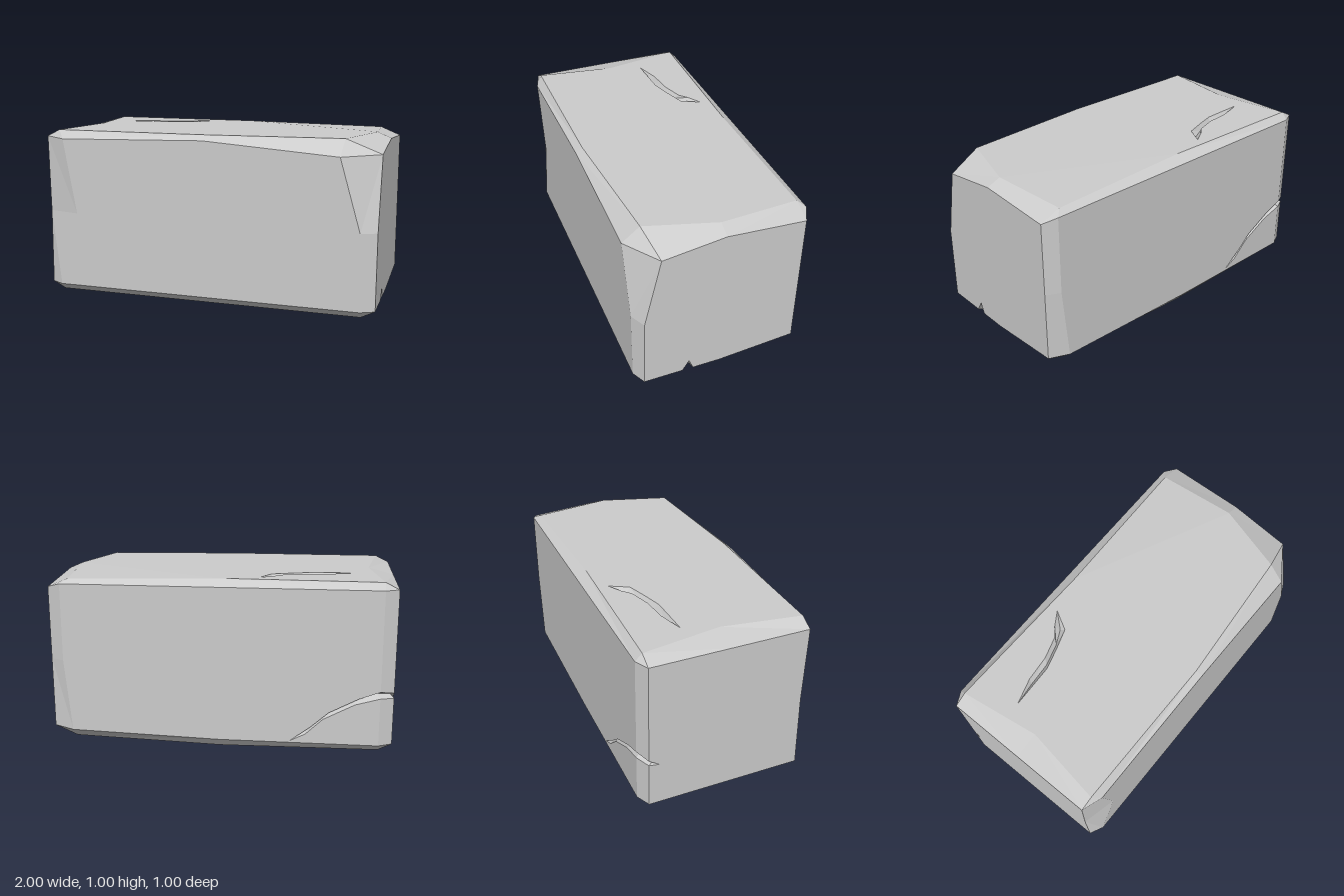
import * as THREE from 'three';

const HALF = [1, 0.495, 0.5], MID = [0, 0.505, 0], INSET = [0.08, 0.04, 0.04];
const SIGNS = [-1, 0, 1];

// Worn spots: face axis + sign of x,y,z -> position replacing the regular chamfer point
const WORN = {
  '0:1,1,1': [1, 0.915, 0.36], '0:1,1,0': [1, 0.965, 0], '0:1,1,-1': [1, 0.935, -0.46],
  '0:1,0,1': [1, 0.495, 0.455], '0:1,-1,-1': [1, 0.085, -0.46], '0:-1,0,1': [-1, 0.5, 0.45],
  '1:1,1,1': [0.8, 1, 0.4], '1:1,1,-1': [0.88, 0.985, -0.46], '1:0,1,-1': [0, 1, -0.44],
  '1:-1,1,0': [-0.85, 1, 0], '1:1,-1,-1': [0.88, 0.01, -0.42], '1:0,-1,-1': [0, 0, -0.46],
  '2:1,1,1': [0.79, 0.91, 0.5], '2:0,1,1': [0, 0.97, 0.5], '2:-1,1,1': [-0.88, 0.95, 0.5],
  '2:-1,0,1': [-0.8, 0.5, 0.5], '2:1,0,1': [0.91, 0.495, 0.5], '2:1,-1,-1': [0.88, 0.075, -0.5],
};

// Point of one face, named by the signs of its corner or edge middle
function point(axis, s) {
  return WORN[`${axis}:${s}`] ||
    s.map((k, i) => MID[i] + k * (HALF[i] - (i === axis ? 0 : INSET[i])));
}

// Cracks: two lips sharing their end points, and the inward push of the groove floor
const top = (x, z) => [x, 1, z], back = (x, y) => [x, y, -0.5];
const CRACKS = {
  topCrack: {
    a: [top(-0.78, -0.19), top(-0.63, -0.235), top(-0.48, -0.25), top(-0.35, -0.29), top(-0.3, -0.335), top(-0.22, -0.385)],
    b: [top(-0.78, -0.19), top(-0.65, -0.195), top(-0.52, -0.2), top(-0.4, -0.235), top(-0.28, -0.275), top(-0.22, -0.385)],
    push: [0, -0.03, 0],
  },
  backCrack: {
    a: [[-1, 0.32, -0.4], [-1, 0.36, -0.46], back(-0.92, 0.375), back(-0.8, 0.33), back(-0.63, 0.24), back(-0.53, 0.15), back(-0.41, 0.06)],
    b: [[-1, 0.32, -0.4], [-1, 0.33, -0.46], back(-0.92, 0.335), back(-0.78, 0.295), back(-0.6, 0.2), back(-0.5, 0.105), back(-0.41, 0.06)],
    push: [0.02, 0, 0.035],
  },
  bottomNotch: {
    a: [[1, 0.115, 0.19], [1, 0.05, 0.23], [0.92, 0.01, 0.23], [0.78, 0.01, 0.19]],
    b: [[1, 0.115, 0.19], [1, 0.05, 0.165], [0.92, 0.01, 0.165], [0.78, 0.01, 0.19]],
    push: [-0.07, 0.033, 0],
  },
};
const { topCrack: T, backCrack: K, bottomNotch: N } = CRACKS;

// Where a crack breaks a face outline, and which chamfers it interrupts
const OUTLINE_CUTS = {
  '0:1': [7, [N.a[1], N.a[0], N.b[1]]],
  '1:-1': [5, [N.a[2], N.a[3], N.b[2]]],
  '2:-1': [8, [...K.a.slice(2), ...K.b.slice(2, -1).reverse()]],
  '0:-1': [1, [K.b[1], K.b[0], K.a[1]]],
};
const CHAMFER_CUTS = {
  '0,1:1,-1': [2, [[N.b[1], N.b[2]], [N.a[1], N.a[2]]]],
  '0,2:-1,-1': [1, [[K.b[1], K.b[2]], [K.a[1], K.a[2]]]],
};

function makeMesh(name, positions, side) {
  const g = new THREE.BufferGeometry();
  g.setAttribute('position', new THREE.Float32BufferAttribute(positions, 3));
  g.computeVertexNormals();
  const m = new THREE.Mesh(g, new THREE.MeshStandardMaterial({ color: 0xcccccc, flatShading: true, side }));
  m.name = name;
  return m;
}

function buildBlock() {
  const out = [], centre = new THREE.Vector3(...MID);
  // Adds a triangle turned away from the centre of the block
  const tri = (p, q, r) => {
    const t = new THREE.Triangle(...[p, q, r].map((v) => new THREE.Vector3(...v)));
    const n = t.getNormal(new THREE.Vector3());
    const outward = n.dot(t.getMidpoint(new THREE.Vector3()).sub(centre)) > 0;
    out.push(...p, ...(outward ? q : r), ...(outward ? r : q));
  };
  const RING = [[-1, -1], [0, -1], [1, -1], [1, 0], [1, 1], [0, 1], [-1, 1], [-1, 0]];

  for (let a = 0; a < 3; a++) for (const sign of [-1, 1]) {
    // Main face, with crack outlines cut in
    const u = (a + 1) % 3, v = (a + 2) % 3;
    const ring = RING.map(([i, j]) => {
      const s = [0, 0, 0];
      s[a] = sign; s[u] = i; s[v] = j;
      return point(a, s);
    });
    const cut = OUTLINE_CUTS[`${a}:${sign}`];
    if (cut) ring.splice(cut[0], 0, ...cut[1]);
    const hole = a === 1 && sign === 1 ? [...T.a, ...T.b.slice(1, -1).reverse()] : [];
    const flat = (list) => list.map((p) => new THREE.Vector2(p[u], p[v]));
    const all = [...ring, ...hole];
    for (const f of THREE.ShapeUtils.triangulateShape(flat(ring), hole.length ? [flat(hole)] : []))
      tri(...f.map((i) => all[i]));

    // Chamfers to the faces of the later axes
    for (let b = a + 1; b < 3; b++) for (const sb of [-1, 1]) {
      const pairs = SIGNS.map((k) => {
        const s = [k, k, k];
        s[a] = sign; s[b] = sb;
        return [point(a, s), point(b, s)];
      });
      const gap = CHAMFER_CUTS[`${a},${b}:${sign},${sb}`];
      if (gap) pairs.splice(gap[0], 0, ...gap[1]);
      for (let i = 0; i < pairs.length - 1; i++) {
        if (gap && i === gap[0]) continue;
        const [p, q] = pairs[i], [r, t] = pairs[i + 1];
        tri(p, q, r);
        tri(q, t, r);
      }
    }
  }
  // Corner facets
  for (const x of [-1, 1]) for (const y of [-1, 1]) for (const z of [-1, 1])
    tri(...[0, 1, 2].map((axis) => point(axis, [x, y, z])));
  return makeMesh('stoneBlock', out, THREE.FrontSide);
}

// V-shaped walls from both lips down to the groove floor
function buildCrack(name, { a, b, push }) {
  const out = [], last = a.length - 1;
  const floor = a.map((p, i) => p.map((c, k) => (c + b[i][k]) / 2 + (i > 0 && i < last ? push[k] : 0)));
  for (const lip of [a, b]) for (let i = 0; i < last; i++) {
    if (i > 0) out.push(...lip[i], ...lip[i + 1], ...floor[i]);
    if (i < last - 1) out.push(...lip[i + 1], ...floor[i + 1], ...floor[i]);
  }
  return makeMesh(name, out, THREE.DoubleSide);
}

export function createModel() {
  const group = new THREE.Group();
  group.name = 'chippedStoneBlock';
  group.add(buildBlock());
  for (const [name, crack] of Object.entries(CRACKS)) group.add(buildCrack(name, crack));
  return group;
}
